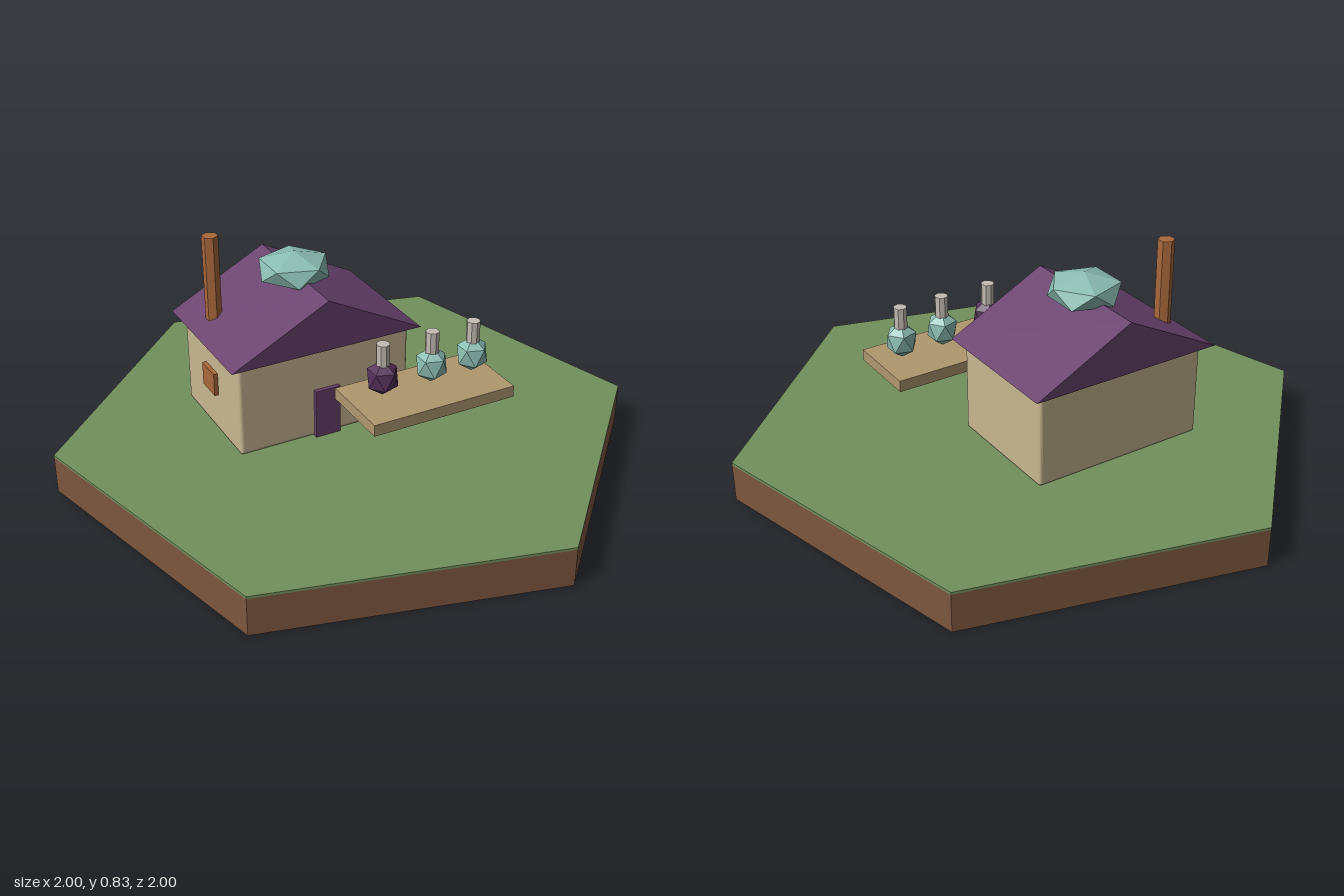
import * as THREE from 'three';
import { RoundedBoxGeometry } from 'three/addons/geometries/RoundedBoxGeometry.js';

const material = (name, color) => {
  const m = new THREE.MeshStandardMaterial({ color, flatShading: true });
  m.name = name;
  return m;
};

export function createModel() {
  const model = new THREE.Group();
  model.name = 'potionShop';

  const grass = material('grass green', 0x728f5c);
  const soil = material('soil brown', 0x7d573e);
  const plaster = material('plaster cream', 0xc9b791);
  const purple = material('roof purple', 0x69436e);
  const darkPurple = material('potion purple', 0x54305a);
  const copper = material('copper', 0xa9683c);
  const wood = material('table wood', 0xb0986f);
  const crystal = material('crystal teal', 0x8bbdb3);
  const neckGrey = material('neck grey', 0xc4bdb4);

  const add = (name, geometry, mat, x, y, z, parent = model) => {
    const mesh = new THREE.Mesh(geometry, mat);
    mesh.name = name;
    mesh.position.set(x, y, z);
    parent.add(mesh);
    return mesh;
  };

  // Icosahedron standing on one corner
  const gemGeometry = (radius, height = radius) => {
    const g = new THREE.IcosahedronGeometry(1, 0);
    g.rotateX(-Math.atan((1 + Math.sqrt(5)) / 2));
    g.rotateY(Math.PI / 2);
    g.scale(radius, height, radius);
    return g;
  };

  // Hexagonal ground slab
  const hexagon = (h) => new THREE.CylinderGeometry(1.035, 1.035, h, 6, 1, false, Math.PI / 12);
  add('soilSlab', hexagon(0.138), soil, 0, 0.069, 0);
  add('grassTop', hexagon(0.009), grass, 0, 0.1425, 0);

  // House walls and door
  const house = new THREE.Group();
  house.name = 'house';
  model.add(house);
  add('walls', new RoundedBoxGeometry(0.65, 0.345, 0.46, 2, 0.012), plaster, -0.11, 0.3195, -0.19, house);
  add('door', new THREE.BoxGeometry(0.095, 0.183, 0.03), purple, -0.108, 0.2385, 0.04, house);
  add('sideWindow', new THREE.BoxGeometry(0.03, 0.085, 0.1), copper, -0.435, 0.338, -0.19, house);

  // Gabled roof, ridge running front to back
  const gable = new THREE.Shape();
  gable.moveTo(-0.36, 0);
  gable.lineTo(0.36, 0);
  gable.lineTo(0, 0.185);
  gable.closePath();
  const roof = new THREE.ExtrudeGeometry(gable, { depth: 0.525, bevelEnabled: false });
  add('roof', roof, purple, -0.11, 0.49, -0.455, house);

  // Chimney pipe and roof crystal
  add('chimney', new THREE.CylinderGeometry(0.029, 0.029, 0.345, 6), copper, -0.383, 0.6625, -0.275, house);
  add('roofCrystal', gemGeometry(0.138, 0.063), crystal, -0.11, 0.69, -0.193, house);

  // Display board
  add('displayBoard', new THREE.BoxGeometry(0.545, 0.042, 0.275), wood, 0.1625, 0.341, 0.2475);

  // Potion bottles in a row
  [[0, darkPurple], [0.19, crystal], [0.353, crystal]].forEach(([x, liquid], i) => {
    const bottle = new THREE.Group();
    bottle.name = `bottle${i + 1}`;
    bottle.position.set(x, 0, 0.242);
    model.add(bottle);
    add('bottleBody', gemGeometry(0.059, 0.067), liquid, 0, 0.442, 0, bottle);
    add('bottleNeck', new THREE.CylinderGeometry(0.024, 0.024, 0.085, 8), neckGrey, 0, 0.5255, 0, bottle);
  });

  return model;
}
